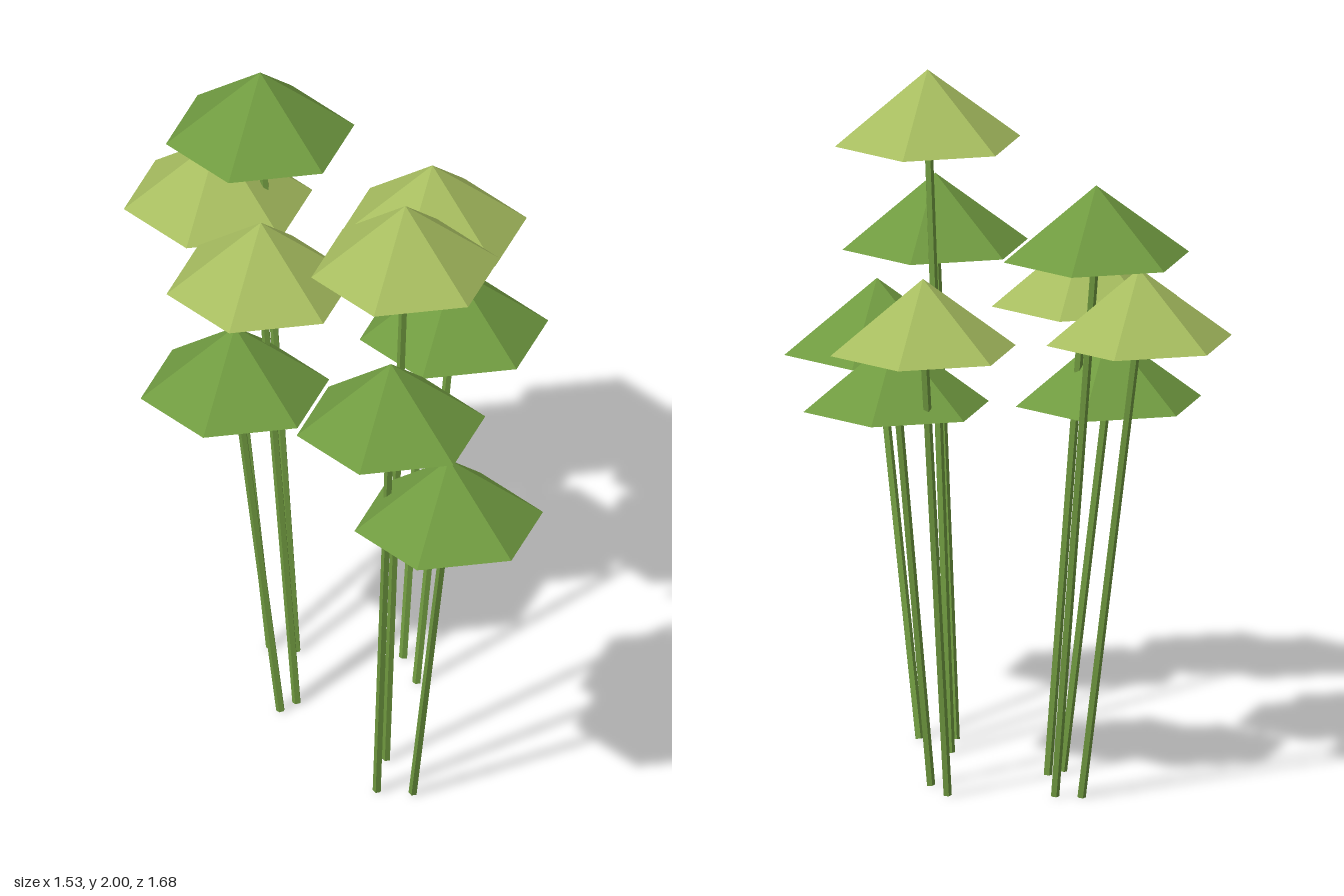
import * as THREE from 'three';

const CAP_RADIUS = 0.278, CAP_HEIGHT = 0.213, STEM_RADIUS = 0.013;

export function createModel() {
  const group = new THREE.Group();
  group.name = 'umbrellaPlants';

  const material = (name, color) => {
    const m = new THREE.MeshStandardMaterial({ color, flatShading: true });
    m.name = name;
    return m;
  };
  const green = material('leaf green', 0x709a40);
  const lime = material('pale lime', 0xa6bc5f);

  // Apex of each cap: x, y, z and its colour
  const plants = [
    [0.305, 2.0, 0.287, lime],
    [-0.4, 1.863, -0.452, green],
    [-0.525, 1.62, -0.44, lime],
    [-0.252, 1.63, -0.035, lime],
    [0.09, 1.58, -0.563, lime],
    [0.355, 1.63, 0.557, green],
    [0.22, 1.365, -0.38, green],
    [0.52, 1.315, 0.522, green],
    [-0.3, 1.315, 0.055, green],
  ];

  const capGeometry = new THREE.ConeGeometry(CAP_RADIUS, CAP_HEIGHT, 6);
  const up = new THREE.Vector3(0, 1, 0);

  for (const [x, y, z, capMaterial] of plants) {
    const plant = new THREE.Group();
    plant.name = 'plant';

    // Six-sided cap
    const cap = new THREE.Mesh(capGeometry, capMaterial);
    cap.name = 'cap';
    cap.position.set(x, y - CAP_HEIGHT / 2, z);
    plant.add(cap);

    // Slender stem leaning in towards the middle of the clump
    const foot = new THREE.Vector3(0.62 * x + 0.014, 0.003, 0.625 * z - 0.015);
    const tip = new THREE.Vector3(x, y - CAP_HEIGHT + 0.05, z);
    const axis = tip.clone().sub(foot);
    const stem = new THREE.Mesh(
      new THREE.CylinderGeometry(STEM_RADIUS, STEM_RADIUS, axis.length(), 5), green);
    stem.name = 'stem';
    stem.position.copy(foot).add(tip).multiplyScalar(0.5);
    stem.quaternion.setFromUnitVectors(up, axis.normalize());
    plant.add(stem);

    group.add(plant);
  }
  return group;
}
